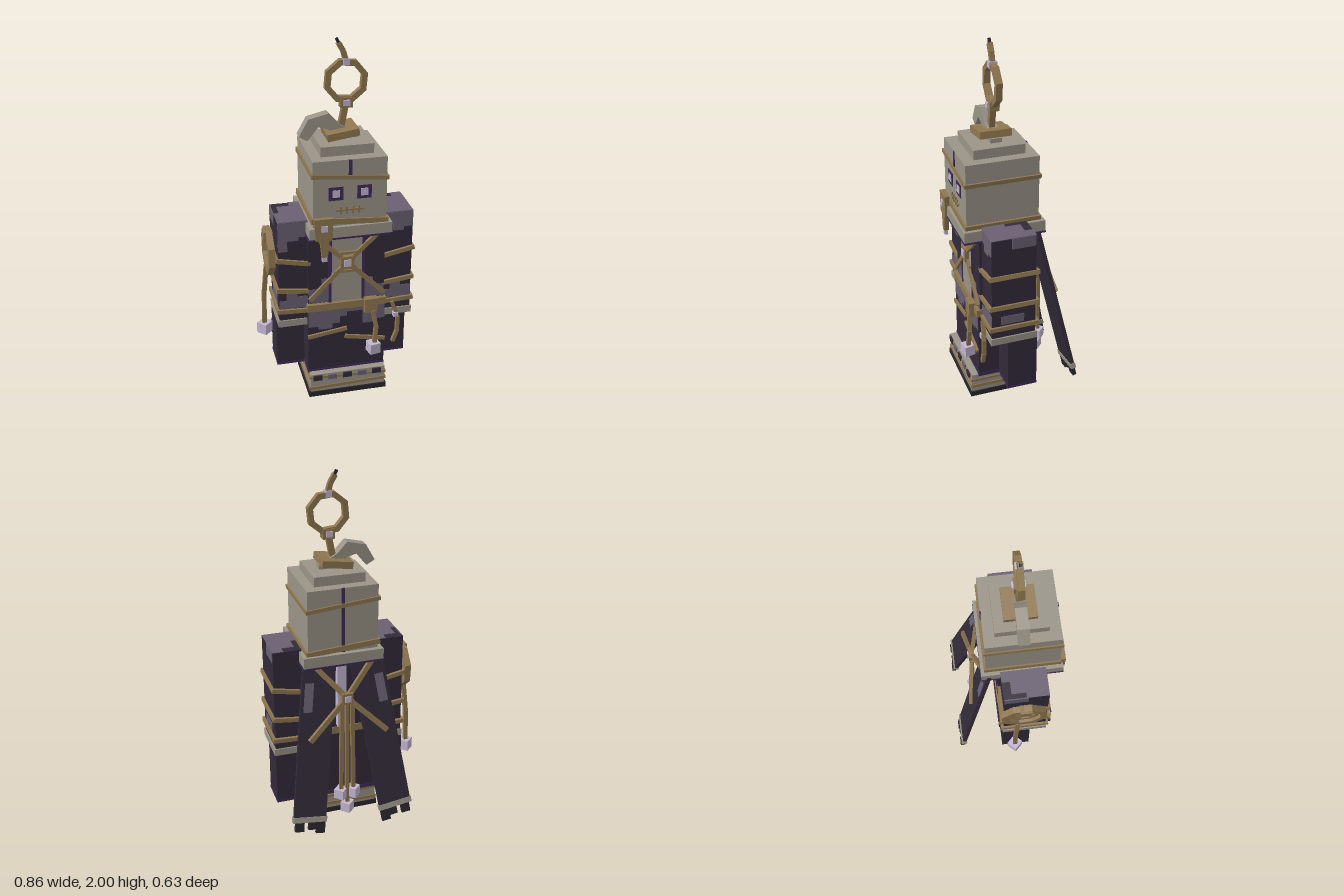
import * as THREE from 'three';

const paint = (name, color) => {
  const m = new THREE.MeshStandardMaterial({ color });
  m.name = name;
  return m;
};

export function createModel() {
  const root = new THREE.Group();
  root.name = 'wrappedFigure';
  const stone = paint('stone', 0x9a9488), brown = paint('brown', 0x8f7750), dark = paint('darkCloth', 0x322a38);
  const faded = paint('fadedCloth', 0x6a6072), purple = paint('purple', 0x3e2a58), gem = paint('paleLilac', 0xc3b5d0);
  const black = paint('sole', 0x29252c);
  const CX = 0.04, V = (p) => new THREE.Vector3(...p);

  const add = (name, geo, mat, pos = [0, 0, 0], rot = [0, 0, 0]) => {
    const m = new THREE.Mesh(geo, mat);
    m.name = name;
    m.position.set(...pos);
    m.rotation.set(...rot);
    root.add(m);
    return m;
  };
  // Box from its lower and upper corners
  const box = (name, mat, a, b, rot) => add(name,
    new THREE.BoxGeometry(b[0] - a[0], b[1] - a[1], b[2] - a[2]), mat,
    a.map((v, i) => (v + b[i]) / 2), rot);
  // Flat bar running from a to b, with its thickness along n
  const strip = (name, mat, a, b, w, t, n = [0, 0, 1]) => {
    const d = V(b).sub(V(a)), len = d.length();
    const y = d.normalize(), x = y.clone().cross(V(n)).normalize(), z = x.clone().cross(y);
    const m = add(name, new THREE.BoxGeometry(w, len, t), mat);
    m.quaternion.setFromRotationMatrix(new THREE.Matrix4().makeBasis(x, y, z));
    m.position.copy(V(a).add(V(b)).multiplyScalar(0.5));
    return m;
  };
  const chain = (name, mat, pts, w, t) => pts.slice(1).forEach((p, i) => strip(name, mat, pts[i], p, w, t));
  const extrude = (name, mat, pts, depth, pos, rot) => add(name, new THREE.ExtrudeGeometry(
    new THREE.Shape(pts.map((p) => new THREE.Vector2(...p))), { depth, bevelEnabled: false }), mat, pos, rot);
  const cube = (name, s, pos, rot) => add(name, new THREE.BoxGeometry(s, s, s), gem, pos, rot);
  // Eight-sided ring with a square section
  const ring = (name, outer, inner, depth, pos, rot) => {
    const oct = (r) => Array.from({ length: 8 }, (_, i) => {
      const a = i * Math.PI / 4 + 0.3;
      return new THREE.Vector2(Math.cos(a) * r, Math.sin(a) * r);
    });
    const s = new THREE.Shape(oct(outer));
    s.holes.push(new THREE.Path(oct(inner)));
    const g = new THREE.ExtrudeGeometry(s, { depth, bevelEnabled: false });
    g.translate(0, 0, -depth / 2);
    add(name, g, brown, pos, rot);
  };

  // Base with wrapped bands
  box('sole', black, [-0.185, 0, -0.06], [0.262, 0.03, 0.277]);
  box('base', stone, [-0.175, 0.03, -0.055], [0.255, 0.14, 0.27]);
  box('baseBand', brown, [-0.182, 0.05, -0.06], [0.26, 0.068, 0.275], [0, 0, 0.03]);
  box('baseBand', brown, [-0.182, 0.108, -0.06], [0.26, 0.122, 0.275], [0, 0, -0.04]);

  // Robe
  box('skirt', dark, [-0.178, 0.15, -0.06], [0.258, 0.54, 0.228]);
  box('skirtHem', purple, [-0.18, 0.13, -0.063], [0.26, 0.15, 0.231]);
  for (let i = 0; i < 5; i++) box('hemTab', i % 2 ? faded : dark,
    [-0.16 + i * 0.085, 0.105, 0.2], [-0.11 + i * 0.085, 0.135, 0.28]);
  box('torso', dark, [-0.172, 0.54, -0.06], [0.252, 1.02, 0.215]);
  box('belt', brown, [-0.182, 0.53, -0.066], [0.262, 0.572, 0.236]);
  box('frontPanel', stone, [-0.045, 0.572, 0.2], [0.125, 1, 0.22]);
  for (const x of [-0.052, 0.132]) box('panelTrim', purple, [x - 0.008, 0.572, 0.2], [x + 0.008, 1, 0.223]);
  extrude('skirtPatch', faded, [[-0.176, 0.53], [-0.176, 0.43], [-0.12, 0.43], [-0.12, 0.41], [-0.04, 0.41], [-0.04, 0.44],
    [0, 0.44], [0, 0.48], [0.04, 0.48], [0.04, 0.505], [0.13, 0.505], [0.13, 0.42], [0.2, 0.42], [0.2, 0.44],
    [0.256, 0.44], [0.256, 0.53]], 0.004, [0, 0, 0.227]);
  extrude('chestPatch', faded, [[-0.17, 0.575], [-0.062, 0.575], [-0.062, 0.72], [-0.1, 0.72], [-0.1, 0.66], [-0.17, 0.66]],
    0.004, [0, 0, 0.214]);
  extrude('chestPatch', faded, [[0.142, 0.575], [0.25, 0.575], [0.25, 0.65], [0.19, 0.65], [0.19, 0.7], [0.142, 0.7]],
    0.004, [0, 0, 0.214]);
  strip('skirtStrap', brown, [-0.18, 0.37, 0.234], [0.04, 0.402, 0.234], 0.022, 0.012);
  strip('skirtStrap', brown, [0.03, 0.35, 0.234], [0.26, 0.305, 0.234], 0.022, 0.012);

  // Chest harness
  for (const e of [[-0.13, 0.98], [0.22, 0.98], [-0.165, 0.6], [0.25, 0.6]])
    strip('chestStrap', brown, [CX, 0.815, 0.228], [...e, 0.225], 0.024, 0.016);
  for (const s of [-1, 1]) strip('harnessBar', brown, [CX - 0.075, 0.815 + s * 0.055, 0.226], [CX + 0.075, 0.815 + s * 0.055, 0.226], 0.014, 0.012);
  box('claspPlate', brown, [CX - 0.038, 0.777, 0.22], [CX + 0.038, 0.853, 0.242]);
  box('claspGem', gem, [CX - 0.02, 0.795, 0.23], [CX + 0.02, 0.835, 0.247]);

  // Belt pouch and hanging charms
  box('beltPouch', brown, [0.135, 0.5, 0.225], [0.205, 0.585, 0.262]);
  chain('charmCord', brown, [[0.18, 0.51, 0.255], [0.2, 0.41, 0.262], [0.19, 0.3, 0.268]], 0.022, 0.022);
  cube('charm', 0.062, [0.185, 0.28, 0.268], [0, 0.2, 0]);
  chain('handCord', brown, [[0.3, 0.53, 0.215], [0.335, 0.43, 0.222], [0.335, 0.34, 0.222], [0.31, 0.27, 0.222]], 0.02, 0.022);
  cube('handCharm', 0.026, [0.32, 0.45, 0.225]);

  // Arms
  for (const s of [-1, 1]) {
    const x0 = s > 0 ? 0.25 : -0.33, x1 = x0 + 0.16, mid = x0 + 0.08, out = s > 0 ? x1 : x0;
    box('sleeve', dark, [x0, 0.48, -0.045], [x1, 1.07, 0.2]);
    box('cuff', stone, [x0 - 0.008, 0.44, -0.052], [x1 + 0.008, 0.48, 0.207]);
    box('hand', dark, [x0 - 0.004, 0.145, -0.055], [x1 + 0.004, 0.44, 0.11]);
    box('handTrim', purple, [x0 - 0.005, 0.13, -0.056], [x1 + 0.005, 0.145, 0.111]);
    for (const [y, tilt] of [[0.835, 0.2], [0.66, 0.12], [0.535, 0.05]]) add('sleeveBand',
      new THREE.BoxGeometry(0.188, 0.024, 0.278), brown, [mid, y, 0.076], [0, 0, s * tilt]);
    // Faded cloth on the shoulder and lower sleeve
    extrude('shoulderTop', faded, [[-0.08, -0.2], [0.08, -0.2], [0.08, 0.045], [0.02, 0.045], [0.02, 0], [-0.05, 0], [-0.05, -0.08], [-0.08, -0.08]]
      .map(([x, y]) => [x, y]), 0.004, [mid, 1.069, 0], [-Math.PI / 2, 0, 0]);
    extrude('shoulderPatch', faded, [[x0, 1.07], [x0, s < 0 ? 0.9 : 1], [x0 + 0.05, s < 0 ? 0.9 : 1], [x0 + 0.05, 0.96],
      [x0 + 0.11, 0.96], [x0 + 0.11, 0.98], [x1, 0.98], [x1, 1.07]], 0.004, [0, 0, 0.199]);
    extrude('sleevePatch', faded, [[x0, 0.55], [x1, 0.55], [x1, 0.62], [x0 + 0.1, 0.62], [x0 + 0.1, 0.65], [x0 + 0.04, 0.65],
      [x0 + 0.04, 0.6], [x0, 0.6]], 0.004, [0, 0, 0.199]);
    box('sidePatch', faded, [out - 0.003, 1.01, -0.04], [out + 0.003, 1.07, 0.09]);
    box('sidePatch', faded, [out - 0.003, 0.56, 0.02], [out + 0.003, 0.61, 0.15]);
  }

  // Ring and charm on the right arm
  ring('armRing', 0.135, 0.095, 0.035, [-0.36, 0.85, 0.065], [0, Math.PI / 2, 0]);
  ring('armRingInner', 0.085, 0.06, 0.025, [-0.35, 0.85, 0.065], [0, Math.PI / 2, 0]);
  box('armRingClasp', brown, [-0.39, 0.92, 0.04], [-0.34, 0.975, 0.105]);
  chain('armCord', brown, [[-0.37, 0.74, 0.03], [-0.385, 0.56, 0.018], [-0.388, 0.36, 0.015]], 0.024, 0.024);
  cube('armCharm', 0.063, [-0.387, 0.337, 0.015], [0, Math.PI / 4, 0]);

  // Collar and head
  box('collar', stone, [-0.18, 1, -0.148], [0.265, 1.062, 0.298]);
  box('collarTrim', purple, [-0.184, 0.993, -0.15], [0.269, 1.003, 0.3]);
  box('head', stone, [-0.155, 1.05, -0.12], [0.235, 1.425, 0.277]);
  box('crownStep', stone, [-0.1, 1.425, -0.063], [0.18, 1.477, 0.215]);
  add('headBand', new THREE.BoxGeometry(0.41, 0.022, 0.415), brown, [CX, 1.33, 0.078], [0, 0, -0.09]);
  add('neckBand', new THREE.BoxGeometry(0.412, 0.03, 0.417), brown, [CX, 1.085, 0.078], [0, 0, -0.07]);
  box('foreheadSeam', purple, [0.031, 1.33, 0.27], [0.049, 1.425, 0.281]);
  box('backSeam', purple, [0.031, 1.06, -0.124], [0.049, 1.425, -0.115]);
  for (const x of [-0.035, 0.115]) {
    box('eyeSocket', purple, [x - 0.038, 1.207, 0.274], [x + 0.038, 1.28, 0.281]);
    box('eye', gem, [x - 0.02, 1.224, 0.276], [x + 0.02, 1.264, 0.284]);
  }
  box('mouthThread', brown, [-0.035, 1.144, 0.275], [0.115, 1.154, 0.282]);
  for (let i = 0; i < 4; i++) box('mouthStitch', brown, [-0.014 + i * 0.032, 1.128, 0.275], [-0.005 + i * 0.032, 1.17, 0.283]);

  // Collar tag
  extrude('collarTag', brown, [[-0.155, 1.12], [-0.055, 1.12], [-0.06, 1], [-0.075, 0.99], [-0.085, 0.9], [-0.115, 0.9], [-0.125, 0.99],
    [-0.15, 1]], 0.026, [0, 0, 0.284]);
  box('tagGem', gem, [-0.118, 1.05, 0.29], [-0.085, 1.082, 0.317]);
  box('tagGem', gem, [-0.114, 0.873, 0.288], [-0.086, 0.9, 0.308]);

  // Bent tuft, tilted plinth and crowning ring
  extrude('bentTuft', stone, [[-0.19, 1.5], [-0.14, 1.59], [-0.035, 1.615], [0.02, 1.555], [0.12, 1.5], [0.12, 1.47], [0, 1.49],
    [-0.035, 1.53], [-0.088, 1.545], [-0.145, 1.475]], 0.06, [0, 0, 0.045]);
  add('plinth', new THREE.BoxGeometry(0.17, 0.038, 0.172), brown, [0.033, 1.512, 0.075], [0, 0, 0.14]);
  strip('ringStem', brown, [0.035, 1.52, 0.075], [0.062, 1.66, 0.075], 0.032, 0.032);
  ring('crownRing', 0.118, 0.086, 0.034, [0.062, 1.775, 0.075]);
  box('ringCollar', brown, [0.03, 1.637, 0.05], [0.096, 1.69, 0.1]);
  box('ringGem', gem, [0.045, 1.65, 0.04], [0.079, 1.68, 0.11]);
  box('ringTopGem', gem, [0.044, 1.858, 0.054], [0.078, 1.892, 0.096]);
  chain('ringHook', brown, [[0.061, 1.88, 0.075], [0.047, 1.93, 0.075], [0.022, 1.972, 0.075]], 0.026, 0.026);
  strip('hookTip', black, [0.026, 1.967, 0.075], [0.012, 1.994, 0.075], 0.014, 0.014);

  // Split cape with ragged ends
  for (const s of [-1, 1]) {
    const top = V([CX + s * 0.13, 1.01, -0.105]), end = V([CX + s * 0.253, 0.135, -0.293]);
    const at = (t, side = 0) => top.clone().lerp(end, t).add(V([side, side * s * 0.14, 0])).toArray();
    strip('capePanel', dark, at(0), at(0.97), 0.185, 0.022);
    strip('capeHem', stone, at(0.965), at(1), 0.195, 0.03);
    [[-0.055, 1.06], [0.02, 1.05], [0.065, 1.075]].forEach(([x, t]) =>
      strip('capeTatter', black, at(0.99, s * -x), at(t, s * -x), 0.05, 0.022));
    strip('capePatch', faded, [...at(0.12, s * 0.05)].map((v, i) => v - (i === 2 ? 0.009 : 0)),
      [...at(0.3, s * 0.05)].map((v, i) => v - (i === 2 ? 0.009 : 0)), 0.05, 0.008);
    // Back harness
    strip('backStrap', brown, [CX, 0.815, -0.185], [CX + s * 0.16, 1, -0.13], 0.028, 0.02);
    strip('backStrap', brown, [CX, 0.815, -0.185], [CX + s * 0.22, 0.6, -0.222], 0.028, 0.02);
  }
  box('backSash', gem, [CX - 0.025, 0.59, -0.098], [CX + 0.025, 1, -0.055]);
  box('backClasp', brown, [CX - 0.032, 0.783, -0.202], [CX + 0.032, 0.847, -0.17]);
  box('backGem', gem, [CX - 0.017, 0.798, -0.209], [CX + 0.017, 0.832, -0.19]);
  [[-0.036, 0.215], [0, 0.122], [0.036, 0.215]].forEach(([x, y], i) => {
    strip('backCord', brown, [CX + x * 0.8, 0.8, -0.187], [CX + x, y, -0.19], 0.022, 0.02);
    cube('backCharm', 0.058, [CX + x, y, i === 1 ? -0.19 : -0.188], [0, Math.PI / 4, 0]);
  });
  return root;
}
